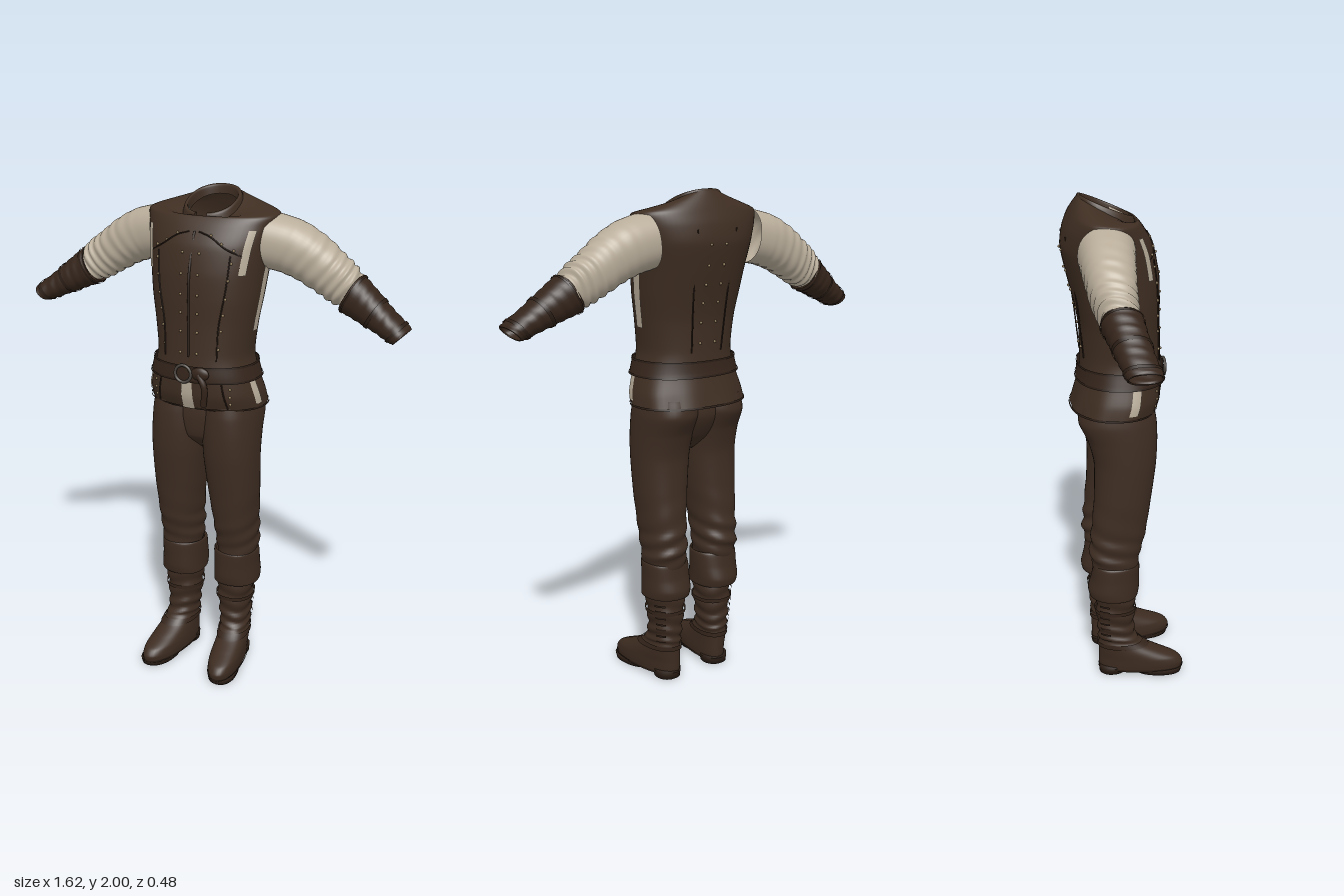
import * as THREE from 'three';

const TAU = Math.PI * 2;
const material = (name, color) => {
  const m = new THREE.MeshStandardMaterial({ color, side: THREE.DoubleSide });
  m.name = name;
  return m;
};

// Cross-section key: [x, y, z, halfWidth, halfDepth, tilt, slope, skew]
const K = (x, y, front, back, a, slope = 0, skew = 0) =>
  [x, y, (front + back) / 2, a, (front - back) / 2, 0, slope, skew];

// Smoothly blend the keys at a fractional index
function sample(keys, t) {
  const i = Math.min(Math.floor(t), keys.length - 2), f = t - i;
  const at = j => keys[Math.max(0, Math.min(keys.length - 1, j))];
  return keys[i].map((p, c) => {
    const q = at(i + 1)[c], m0 = (q - at(i - 1)[c]) * 0.38, m1 = (at(i + 2)[c] - p) * 0.38;
    const f2 = f * f, f3 = f2 * f;
    return (2 * f3 - 3 * f2 + 1) * p + (f3 - 2 * f2 + f) * m0 + (3 * f2 - 2 * f3) * q + (f3 - f2) * m1;
  });
}

// Fractional index for a height in an upright stack of keys
function indexAt(keys, y) {
  let i = 0;
  while (i < keys.length - 2 && keys[i + 1][1] < y) i++;
  return i + Math.max(0, Math.min(1, (y - keys[i][1]) / (keys[i + 1][1] - keys[i][1])));
}

const ROUND = 0.9;
function ringPoint([x, y, z, a, b, tilt, slope, skew], th, off = 0) {
  const c = Math.cos(th), s = Math.sin(th);
  const u = Math.sign(c) * Math.abs(c) ** ROUND * (a + off);
  const w = Math.sign(s) * Math.abs(s) ** ROUND * (b + off);
  return [x + u * Math.cos(tilt) + w * skew, y + u * Math.sin(tilt) + w * slope, z + w];
}

// Skin a surface over the keys; ranges allow bands and patches
function loft(keys, { from = 0, to = keys.length - 1, t0 = 0, t1 = TAU, rows = 30, cols = 40, off = 0, fold = null, cap = false } = {}) {
  const pos = [], idx = [], closed = t1 - t0 > TAU - 0.001, n = closed ? cols : cols + 1;
  for (let i = 0; i <= rows; i++) {
    const t = from + (to - from) * i / rows, key = sample(keys, t);
    for (let j = 0; j < n; j++) {
      const th = t0 + (t1 - t0) * j / cols;
      pos.push(...ringPoint(key, th, off + (fold ? fold(t, th) : 0)));
    }
  }
  for (let i = 0; i < rows; i++) for (let j = 0; j < cols; j++) {
    const k = (j + 1) % n, a = i * n + j, b = a + n, c = i * n + k, d = c + n;
    idx.push(a, b, c, c, b, d);
  }
  if (cap) for (const r of [0, rows]) {
    const mid = pos.length / 3;
    pos.push(...sample(keys, r ? to : from).slice(0, 3));
    for (let j = 0; j < n; j++) {
      const a = r * n + j, b = r * n + (j + 1) % n;
      idx.push(mid, ...(r ? [b, a] : [a, b]));
    }
  }
  const g = new THREE.BufferGeometry();
  g.setAttribute('position', new THREE.Float32BufferAttribute(pos, 3));
  g.setIndex(idx);
  g.computeVertexNormals();
  return g;
}

function mirror(geo) {
  const g = geo.clone().scale(-1, 1, 1), ix = g.index.array;
  for (let i = 0; i < ix.length; i += 3) [ix[i], ix[i + 1]] = [ix[i + 1], ix[i]];
  g.computeVertexNormals();
  return g;
}

export function createModel() {
  const root = new THREE.Group();
  root.name = 'outfit';
  const vestMat = material('vest leather', 0x3f2e22), trouserMat = material('trouser cloth', 0x3e2d22);
  const bootMat = material('boot leather', 0x3c2b20), bracerMat = material('bracer leather', 0x35251b);
  const trimMat = material('dark trim', 0x2a1d15), linen = material('linen', 0xb9ad9a);
  const brass = material('brass', 0x8f7a58), iron = material('iron', 0x4a443e);
  const add = (name, geo, mat) => {
    const m = new THREE.Mesh(geo, mat);
    m.name = name;
    root.add(m);
    return m;
  };
  const pair = (name, geo, mat) => {
    add(name + 'Left', geo, mat);
    add(name + 'Right', mirror(geo), mat);
  };
  const band = (keys, y0, y1, off, extra = {}) =>
    loft(keys, { from: indexAt(keys, y0), to: indexAt(keys, y1), rows: 6, off, ...extra });

  // Vest body, from flared hem to neck hole
  const vest = [
    K(0, 1.165, 0.13, -0.205, 0.242), K(0, 1.22, 0.15, -0.19, 0.236), K(0, 1.3, 0.155, -0.17, 0.212),
    K(0, 1.38, 0.15, -0.165, 0.195), K(0, 1.5, 0.145, -0.17, 0.208), K(0, 1.6, 0.145, -0.19, 0.224),
    K(0, 1.7, 0.14, -0.215, 0.236), K(0, 1.8, 0.12, -0.235, 0.252), K(0, 1.87, 0.085, -0.226, 0.266),
    K(0, 1.912, 0.06, -0.207, 0.268, -0.06), K(0, 1.93, 0.052, -0.19, 0.2, -0.22), K(0, 1.934, 0.05, -0.17, 0.113, -0.52)];
  add('vest', loft(vest, { rows: 66, cols: 64, fold: (t, th) => t < 2.5 ? 0.003 * Math.sin(th * 9) * (2.5 - t) / 2.5 : 0 }), vestMat);
  add('hemTrim', band(vest, 1.165, 1.178, 0.005), trimMat);

  // Collar, open at the throat, with linen showing inside
  const collar = [[0, 1.925, -0.06, 0.115, 0.112, 0, -0.5, 0], [0, 1.953, -0.06, 0.106, 0.107, 0, -0.42, 0],
    [0, 1.953, -0.06, 0.094, 0.095, 0, -0.42, 0], [0, 1.915, -0.06, 0.092, 0.092, 0, -0.5, 0]];
  add('collar', loft(collar, { t0: Math.PI / 2 + 0.2, t1: Math.PI * 2.5 - 0.2, rows: 18 }), vestMat);
  const throat = [[0, 1.83, -0.055, 0.08, 0.09, 0, -0.4, 0], [0, 1.945, -0.06, 0.089, 0.09, 0, -0.45, 0]];
  pair('shirtCollar', loft(throat, { t0: 0.25, t1: 1.25, rows: 5, cols: 12 }), linen);

  // Linen showing through the vest gaps: sides, skirt slits and front split
  const gap = (y0, y1, t0, t1) => band(vest, y0, y1, 0.005, { t0, t1, cols: 6 });
  pair('armpitLinen', gap(1.47, 1.74, -0.08, 0.12), linen);
  pair('armholeLinen', gap(1.7, 1.86, 0.6, 0.76), linen);
  pair('skirtSlit', gap(1.19, 1.3, 0.1, 0.3), linen);
  add('frontSplit', gap(1.168, 1.285, Math.PI / 2 - 0.06, Math.PI / 2 + 0.1), linen);

  // Find a vest surface point from x and y, on the front (1) or back (-1)
  const onVest = (x, y, face = 1, off = 0.002) => {
    const key = sample(vest, indexAt(vest, y));
    const c = Math.sign(x) * Math.min(1, Math.abs(x) / key[3]) ** (1 / ROUND);
    return new THREE.Vector3(...ringPoint(key, face * Math.acos(c), off));
  };
  const seam = (name, pts, face = 1, r = 0.003) => add(name, new THREE.TubeGeometry(
    new THREE.CatmullRomCurve3(pts.map(([x, y]) => onVest(x, y, face))), 32, r, 6), trimMat);
  seam('frontClosure', [[0, 1.85], [0, 1.7], [0, 1.55], [0, 1.38]], 1, 0.005);
  for (const s of [-1, 1]) {
    seam('yokeSeam', [[s * 0.2, 1.76], [s * 0.13, 1.8], [s * 0.07, 1.835], [s * 0.02, 1.85]]);
    seam('sideSeam', [[s * 0.15, 1.77], [s * 0.14, 1.65], [s * 0.115, 1.5], [s * 0.11, 1.37]]);
    seam('skirtSeam', [[s * 0.13, 1.28], [s * 0.14, 1.23], [s * 0.15, 1.17]]);
    seam('backSeam', [[s * 0.09, 1.85], [s * 0.08, 1.6], [s * 0.07, 1.38]], -1);
  }

  // Small metal studs in rows
  const studGeo = new THREE.SphereGeometry(0.0055, 8, 6);
  const stud = (x, y, face) => add('stud', studGeo, brass).position.copy(onVest(x, y, face));
  for (const s of [-1, 1]) {
    for (let i = 0; i < 6; i++) {
      stud(s * 0.035, 1.4 + i * 0.075, 1);
      stud(s * (0.115 + 0.008 * i), 1.42 + i * 0.065, 1);
      stud(s * 0.035, 1.42 + i * 0.075, -1);
    }
    for (let i = 0; i < 3; i++) stud(s * (0.16 - 0.045 * i), 1.79 + 0.025 * i, 1);
    for (let i = 0; i < 3; i++) stud(s * 0.16, 1.2 + 0.03 * i, 1);
  }

  // Belt, round buckle, hanging knot
  add('belt', band(vest, 1.285, 1.345, 0.01, { cols: 60 }), bracerMat);
  for (const y of [1.285, 1.345]) add('beltEdge', band(vest, y - 0.004, y + 0.004, 0.013, { rows: 3, cols: 60 }), trimMat);
  add('buckle', new THREE.TorusGeometry(0.034, 0.006, 8, 28), iron).position.set(-0.015, 1.315, 0.168);
  const strap = add('beltKnot', new THREE.SphereGeometry(0.03, 14, 10), bracerMat);
  strap.position.set(0.055, 1.32, 0.16);
  strap.scale.set(1.3, 0.9, 0.5);
  add('beltTail', new THREE.TubeGeometry(new THREE.CatmullRomCurve3([
    new THREE.Vector3(0.05, 1.32, 0.165), new THREE.Vector3(0.075, 1.27, 0.165), new THREE.Vector3(0.065, 1.19, 0.15)]),
    16, 0.013, 8), bracerMat);

  // Sleeves, keyed from elbow to shoulder, with gathered folds
  const sleeve = [[0.575, 1.64, -0.09, 0.066, 0.064, 1.05, 0, 0], [0.53, 1.67, -0.095, 0.083, 0.072, 1.05, 0, 0],
    [0.475, 1.705, -0.1, 0.088, 0.082, 1.04, 0, 0], [0.4, 1.753, -0.1, 0.097, 0.092, 1.05, 0, 0],
    [0.32, 1.79, -0.097, 0.104, 0.1, 1.2, 0, 0], [0.235, 1.81, -0.09, 0.106, 0.108, 1.45, 0, 0]];
  pair('sleeve', loft(sleeve, { rows: 70, cols: 44,
    fold: (t, th) => 0.0055 * Math.max(0, 1 - t / 4.5) * Math.sin(t * 11 + 1.6 * Math.sin(th * 2) + Math.sin(th)) }), linen);

  // Bracers with an open wrist and dark bands
  const bracer = [[0.705, 1.557, -0.06, 0.045, 0.053, 1, 0, 0], [0.777, 1.514, -0.043, 0.034, 0.056, 0.8, 0, 0],
    [0.777, 1.514, -0.043, 0.042, 0.063, 0.8, 0, 0], [0.705, 1.557, -0.06, 0.053, 0.064, 1, 0, 0],
    [0.63, 1.603, -0.075, 0.068, 0.069, 1.03, 0, 0], [0.566, 1.641, -0.087, 0.079, 0.074, 1.05, 0, 0],
    [0.566, 1.641, -0.087, 0.066, 0.064, 1.05, 0, 0]];
  pair('bracer', loft(bracer, { rows: 48, fold: (t, th) => 0.0015 * Math.sin(t * 13 + th * 2) }), bracerMat);
  for (const t of [2.25, 3.4, 4.75]) pair('bracerBand', loft(bracer, { from: t, to: t + 0.14, rows: 3, off: 0.004 }), trimMat);

  // Trousers: two legs joined by a seat
  const leg = [K(0.13, 0.45, 0.045, -0.12, 0.075), K(0.128, 0.55, 0.053, -0.148, 0.084), K(0.127, 0.65, 0.078, -0.143, 0.088),
    K(0.123, 0.8, 0.1, -0.13, 0.102), K(0.117, 0.95, 0.12, -0.128, 0.111), K(0.114, 1.05, 0.125, -0.152, 0.114),
    K(0.112, 1.13, 0.122, -0.188, 0.114), K(0.105, 1.2, 0.11, -0.175, 0.11)];
  pair('trouserLeg', loft(leg, { rows: 60, cols: 44, fold: (t, th) =>
    0.004 * Math.exp(-((t - 1.3) ** 2)) * Math.sin(t * 9 + th * 2) * (1 - 0.5 * Math.sin(th)) }), trouserMat);
  add('trouserSeat', loft([K(0, 0.97, 0.03, -0.06, 0.03), K(0, 1.03, 0.095, -0.12, 0.12),
    K(0, 1.12, 0.108, -0.165, 0.17), K(0, 1.2, 0.1, -0.16, 0.17)], { rows: 16, cap: true }), trouserMat);

  // Boots: toe, instep and shaft in one stack of sections
  const boot = [K(0.137, 0.018, 0.234, -0.113, 0.064, 0, 0.13), K(0.137, 0.045, 0.238, -0.115, 0.067, 0, 0.13),
    K(0.136, 0.072, 0.215, -0.115, 0.067, 0, 0.13), K(0.133, 0.1, 0.15, -0.115, 0.065, 0, 0.12),
    K(0.129, 0.13, 0.085, -0.115, 0.062, 0, 0.1), K(0.124, 0.17, 0.042, -0.116, 0.06, 0, 0.05),
    K(0.121, 0.23, 0.032, -0.12, 0.064), K(0.12, 0.32, 0.036, -0.125, 0.073), K(0.121, 0.42, 0.04, -0.12, 0.078)];
  pair('boot', loft(boot, { rows: 64, cols: 44, cap: true, fold: (t, th) =>
    t > 4 ? 0.004 * Math.sin((t - 4) * 8 + 1.2 * Math.sin(th * 2)) * Math.min(1, t - 4) : 0 }), bootMat);
  pair('welt', band(boot, 0.019, 0.03, 0.004, { rows: 3 }), trimMat);
  pair('frontSole', loft([K(0.15, 0, 0.23, 0.035, 0.06, 0, 0.13), K(0.15, 0.022, 0.236, 0.02, 0.064, 0, 0.13)],
    { rows: 2, cap: true }), trimMat);
  pair('heel', loft([K(0.122, 0, -0.005, -0.113, 0.052), K(0.122, 0.035, 0.005, -0.115, 0.056)], { rows: 2, cap: true }), trimMat);
  pair('ankleStrap', band(boot, 0.128, 0.15, 0.006), bracerMat);
  pair('shaftStrap', band(boot, 0.29, 0.306, 0.007), bracerMat);

  // Lacing down the outer back of each shaft
  for (let i = 0; i < 7; i++) pair('bootLace', band(boot, 0.17 + i * 0.027, 0.178 + i * 0.027, 0.007,
    { t0: -0.95, t1: -0.35, cols: 8, rows: 2 }), trimMat);

  // Folded boot cuffs with a wall thickness
  const cuff = [K(0.124, 0.38, 0.036, -0.13, 0.078), K(0.124, 0.368, 0.048, -0.15, 0.092), K(0.124, 0.4, 0.053, -0.158, 0.094),
    K(0.123, 0.45, 0.052, -0.146, 0.093), K(0.123, 0.508, 0.052, -0.137, 0.092), K(0.123, 0.512, 0.044, -0.13, 0.082),
    K(0.123, 0.47, 0.038, -0.125, 0.075)];
  pair('bootCuff', loft(cuff, { rows: 36, fold: (t, th) => 0.002 * Math.sin(th * 3 + t) }), bootMat);

  return root;
}
